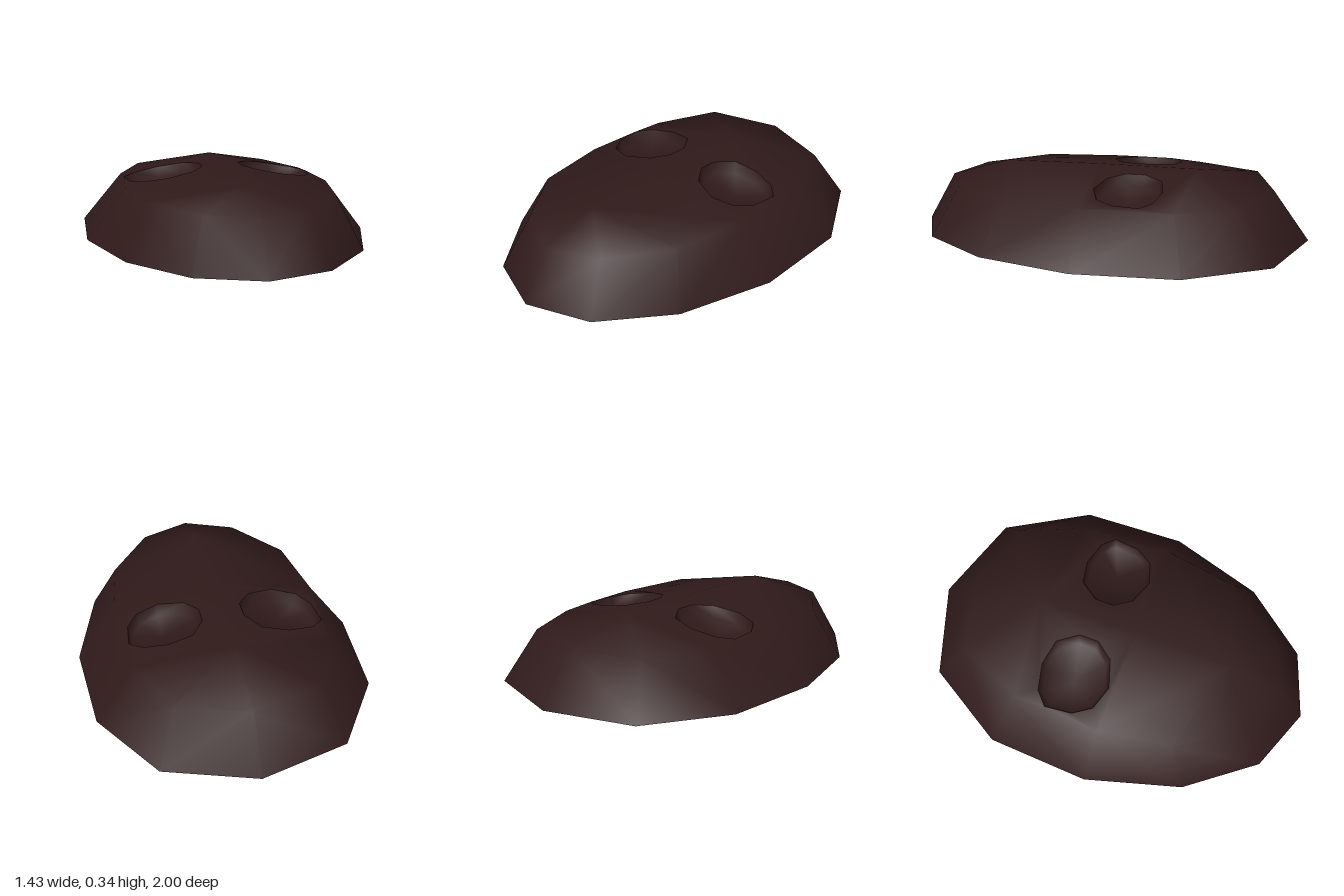
import * as THREE from 'three';
import { mergeVertices } from 'three/addons/utils/BufferGeometryUtils.js';

const V = (x, y, z) => new THREE.Vector3(x, y, z);

// Half outlines, from the chin (front) to the crown (back)
const rim = [[0, 1], [0.32, 0.88], [0.575, 0.55], [0.715, 0.07], [0.69, -0.45], [0.45, -0.855], [0, -1]]
  .map(([x, z]) => V(x, 0, z));
const brow = [[0, 0.25, 0.86], [0.25, 0.255, 0.75], [0.46, 0.262, 0.45], [0.52, 0.258, 0.07],
  [0.495, 0.25, -0.39], [0.36, 0.25, -0.71], [0, 0.25, -0.82]].map((p) => V(...p));
const ridge = [V(0, 0.34, 0.56), V(0, 0.345, 0.08), V(0, 0.342, -0.44)];

// Shallower hollow inside, sharing the rim
const innerBrow = rim.map((p) => V(p.x * 0.68, 0.17, p.z * 0.7));
const innerRidge = [V(0, 0.23, 0.42), V(0, 0.24, 0.06), V(0, 0.23, -0.36)];

// Eye outline (x, z) on the model's left side
const eyeOutline = [[0.495, -0.22], [0.43, -0.28], [0.3, -0.31], [0.17, -0.285], [0.1, -0.185],
  [0.1, -0.085], [0.165, 0.005], [0.3, 0.05], [0.42, 0.01], [0.48, -0.08]];
const faceHeight = (x) => 0.345 - 0.164 * x;

// Eye loop scaled about its centre and sunk below the face
const eyeLoop = (scale, depth) => eyeOutline.map(([x, z]) => {
  const px = 0.305 + (x - 0.305) * scale;
  return V(px, faceHeight(px) - depth, -0.135 + (z + 0.135) * scale);
});

// Adds a triangle for one side, mirrored with its winding kept outward
function addTri(out, side, a, b, c) {
  for (const p of side > 0 ? [a, b, c] : [a, c, b]) out.push(p.x * side, p.y, p.z);
}

// Smooth-shaded geometry from a triangle list
function toGeometry(positions) {
  const raw = new THREE.BufferGeometry();
  raw.setAttribute('position', new THREE.Float32BufferAttribute(positions, 3));
  const geometry = mergeVertices(raw, 1e-4);
  geometry.computeVertexNormals();
  return geometry;
}

// Half dome from the rim over a ring to a crest, without the panel at the eye
function addHalfDome(out, side, ring, crest) {
  for (let i = 0; i < 6; i++) {
    addTri(out, side, rim[i], rim[i + 1], ring[i + 1]);
    addTri(out, side, rim[i], ring[i + 1], ring[i]);
  }
  for (let i = 0; i < 3; i++) addTri(out, side, ring[i], ring[i + 1], crest[0]);
  addTri(out, side, ring[3], crest[1], crest[0]);
  for (let i = 4; i < 6; i++) addTri(out, side, ring[i], ring[i + 1], crest[2]);
}

// Panel with the eye hole
function addEyePanel(out, side, eye) {
  const contour = [ridge[1], brow[3], brow[4], ridge[2]];
  const flat = (pts) => pts.map((p) => new THREE.Vector2(p.x, p.z));
  const all = [...contour, ...eye];
  for (const [i, j, k] of THREE.ShapeUtils.triangulateShape(flat(contour), [flat(eye)])) {
    const [a, b, c] = [all[i], all[j], all[k]];
    const up = (b.z - a.z) * (c.x - a.x) - (b.x - a.x) * (c.z - a.z);
    if (up > 0) addTri(out, side, a, b, c);
    else addTri(out, side, a, c, b);
  }
}

// Recessed eye: tapered wall and slightly dished floor in one smooth surface
function makeEye(side, scale, material) {
  const top = eyeLoop(scale, 0);
  const low = eyeLoop(scale * 0.88, 0.055);
  const centre = V(0.305, faceHeight(0.305) - 0.075, -0.135);
  const socket = [];
  top.forEach((t, i) => {
    const j = (i + 1) % top.length;
    addTri(socket, side, t, top[j], low[j]);
    addTri(socket, side, t, low[j], low[i]);
    addTri(socket, side, low[i], low[j], centre);
  });
  const mesh = new THREE.Mesh(toGeometry(socket), material);
  mesh.name = side > 0 ? 'leftEyeSocket' : 'rightEyeSocket';
  return mesh;
}

export function createModel() {
  const model = new THREE.Group();
  model.name = 'mask';
  const darkBrown = new THREE.MeshStandardMaterial({ color: 0x301a1a, side: THREE.DoubleSide });
  darkBrown.name = 'darkBrown';

  const shell = [], lining = [];
  for (const [side, scale] of [[1, 0.95], [-1, 1]]) {
    addHalfDome(shell, side, brow, ridge);
    addEyePanel(shell, side, eyeLoop(scale, 0));
    model.add(makeEye(side, scale, darkBrown));
    // Inside face behind the eyes is closed
    addHalfDome(lining, side, innerBrow, innerRidge);
    addTri(lining, side, innerBrow[3], innerBrow[4], innerRidge[1]);
    addTri(lining, side, innerBrow[4], innerRidge[2], innerRidge[1]);
  }
  for (const [name, data] of [['maskShell', shell], ['maskLining', lining]]) {
    const mesh = new THREE.Mesh(toGeometry(data), darkBrown);
    mesh.name = name;
    model.add(mesh);
  }
  return model;
}
